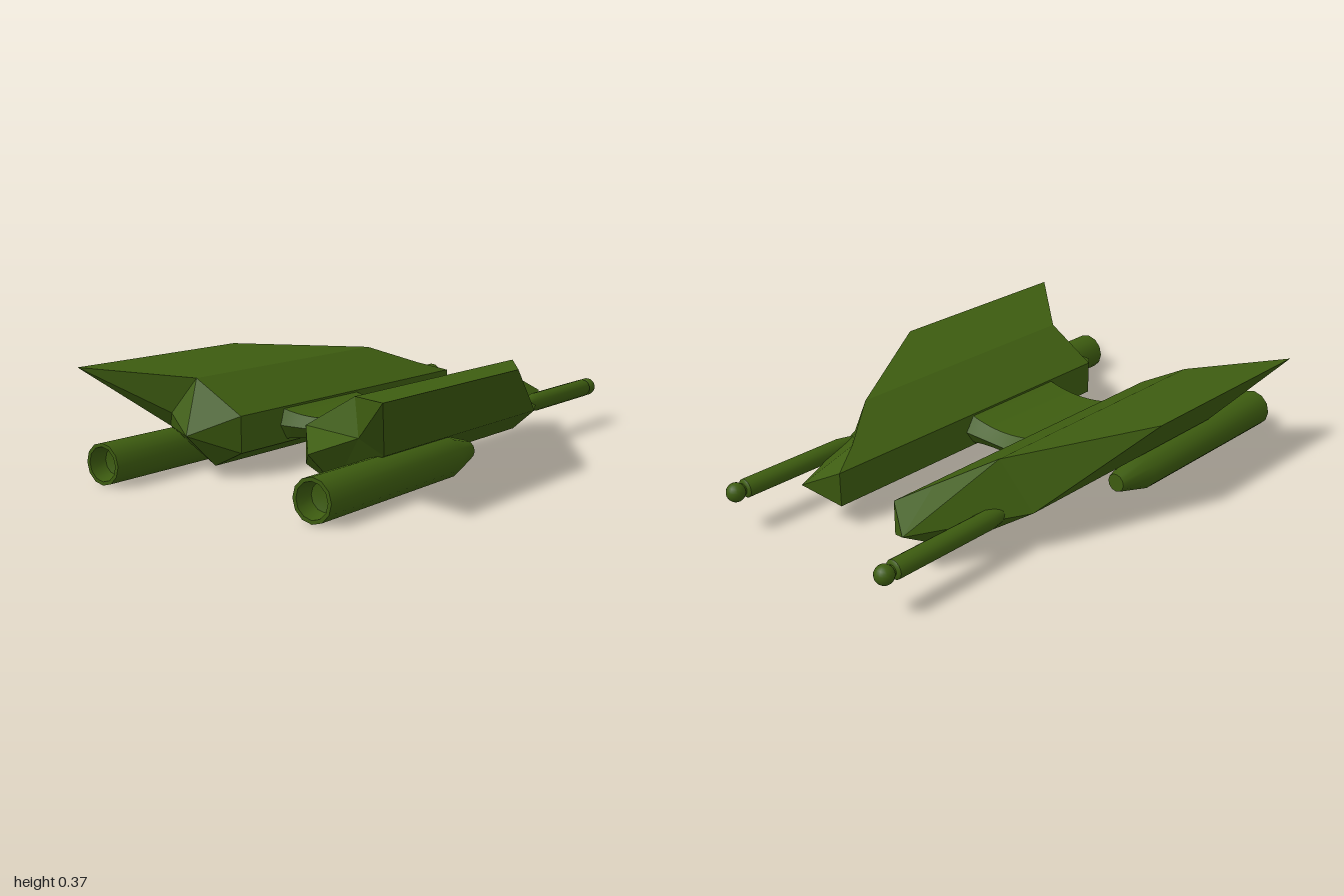
import * as THREE from 'three';
import { toCreasedNormals } from 'three/addons/utils/BufferGeometryUtils.js';

const green = new THREE.MeshStandardMaterial({ color: 0x3d5c10 });
green.name = 'olive green';

// Named corners of one hull: front ring, nose, wing notch, rear ring and tail
const corners = {
  A0: [0.14, 0.215, 0.64], B0: [0.34, 0.33, 0.64], C0: [0.637, 0.376, 0.915],
  D0: [0.46, 0.15, 0.65], E0: [0.26, 0.027, 0.64], F0: [0.14, 0.085, 0.64],
  nose: [0.26, 0.155, 0.785], notch: [0.4, 0.21, 0.705],
  A1: [0.14, 0.215, -0.7], B1: [0.34, 0.33, -0.4], C1: [0.637, 0.376, 0.1],
  D1: [0.46, 0.15, -0.36], E1: [0.26, 0.027, -0.56], F1: [0.14, 0.085, -0.7],
  H: [0.21, 0.255, -0.58], tail: [0.26, 0.155, -0.775],
};

const hullFaces = [
  // front cap
  'A0 nose notch B0', 'A0 F0 nose', 'F0 E0 nose', 'E0 D0 notch nose', 'D0 C0 notch', 'C0 B0 notch',
  // long sides
  'A0 A1 F1 F0', 'F0 F1 E1 E0', 'E0 E1 D1 D0', 'D0 D1 C1 C0', 'C0 C1 B1 B0', 'B0 B1 H A1 A0',
  // tail cap
  'F1 A1 tail', 'E1 F1 tail', 'D1 E1 tail', 'B1 C1 D1', 'A1 H tail', 'H B1 D1 tail',
].map((face) => face.split(' '));

function mesh(name, geometry) {
  const m = new THREE.Mesh(geometry, green);
  m.name = name;
  return m;
}

// Faceted hull; side is +1 (left) or -1 (right)
function hullGeometry(side) {
  const positions = [];
  for (const face of hullFaces) {
    const loop = side > 0 ? face : [...face].reverse();
    for (let i = 1; i < loop.length - 1; i++) {
      for (const key of [loop[0], loop[i], loop[i + 1]]) {
        const [x, y, z] = corners[key];
        positions.push(x * side, y, z);
      }
    }
  }
  const g = new THREE.BufferGeometry();
  g.setAttribute('position', new THREE.Float32BufferAttribute(positions, 3));
  g.computeVertexNormals();
  return g;
}

// Turned part lying along z, profile given as [radius, z]
function turned(profile, segments) {
  const g = new THREE.LatheGeometry(profile.map(([r, z]) => new THREE.Vector2(r, z)), segments);
  g.rotateX(Math.PI / 2);
  return toCreasedNormals(g, 0.7);
}

// Saddle-shaped bridge: a bevelled section swept across x
function bridgeGeometry() {
  const positions = [], index = [], steps = 10, n = 6;
  for (let i = 0; i <= steps; i++) {
    const u = (i / steps) * 2 - 1;
    const top = 0.19 + 0.02 * u * u, bottom = 0.11 - 0.015 * u * u;
    const ring = [[0.15, 0.425], [top, 0.405], [top, -0.04], [0.15, -0.077], [bottom, -0.04], [bottom, 0.39]];
    for (const [y, z] of ring) positions.push(u * 0.15, y, z);
  }
  for (let i = 0; i < steps; i++) {
    for (let k = 0; k < n; k++) {
      const a = i * n + k, d = i * n + ((k + 1) % n);
      index.push(a, a + n, d + n, a, d + n, d);
    }
  }
  const g = new THREE.BufferGeometry();
  g.setAttribute('position', new THREE.Float32BufferAttribute(positions, 3));
  g.setIndex(index);
  return toCreasedNormals(g, 0.4);
}

export function createModel() {
  const model = new THREE.Group();
  model.name = 'twinHullCraft';
  model.add(mesh('bridge', bridgeGeometry()));

  const barrel = turned([[0, 0.11], [0.035, 0.11], [0.073, 0.25], [0.073, 1], [0.06, 1], [0.048, 0.94], [0, 0.93]], 12);
  const rod = turned([[0, -0.95], [0.02, -0.95], [0.02, -0.932], [0.03, -0.93], [0.035, -0.925], [0.035, -0.5], [0.02, -0.4], [0, -0.38]], 16);
  const ball = new THREE.SphereGeometry(0.035, 16, 12);

  for (const side of [1, -1]) {
    const half = new THREE.Group();
    half.name = side > 0 ? 'leftSide' : 'rightSide';
    half.add(mesh('hull', hullGeometry(side)));

    // hollow-ended barrel under the wing
    const gun = mesh('barrel', barrel);
    gun.position.set(0.44 * side, 0.075, 0);
    half.add(gun);

    // rear rod with ball tip
    const rear = mesh('rearRod', rod);
    rear.position.set(0.385 * side, 0.155, 0);
    const tip = mesh('rodBall', ball);
    tip.position.set(0.385 * side, 0.155, -0.965);
    half.add(rear, tip);
    model.add(half);
  }
  return model;
}
